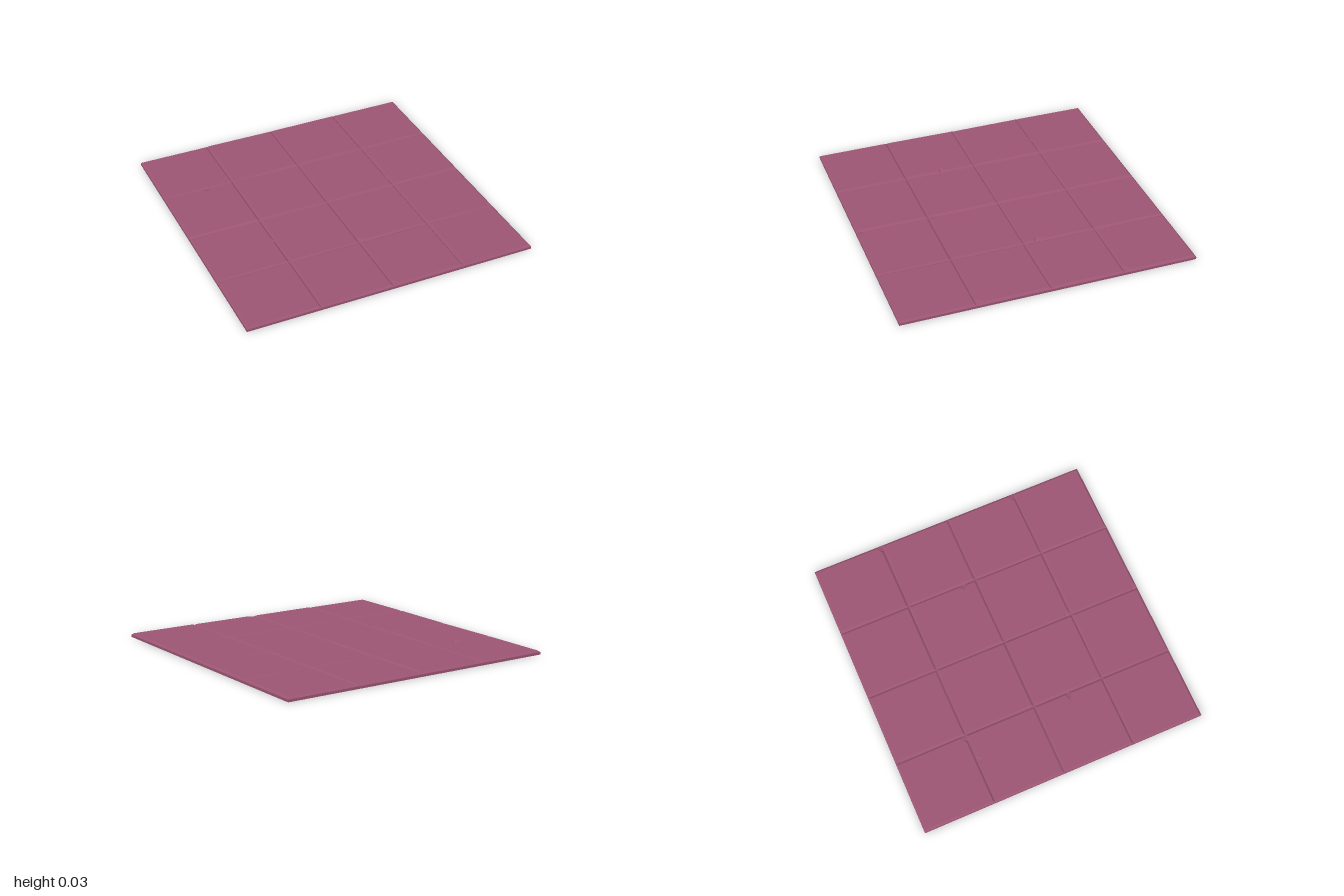
import * as THREE from 'three';

const HALF = 0.25;      // half the width of a tile
const SHOULDER = 0.017; // height where the bevel starts
const TOP = 0.028;

// Corners run counter-clockwise from above (u = x, v = -z): front right, back right, back left, front left
const CORNERS = [[1, -1], [1, 1], [-1, 1], [-1, -1]];

// Worn spots, keyed by "column,row". Notches: [side, position, depth, half width]; corners: clipped corner index
const NOTCHES = { '0,1': [1, 0.05, 0.03, 0.03], '2,1': [0, -0.15, 0.03, 0.03], '0,2': [0, 0.01, 0.055, 0.02] };
const CLIPPED = { '0,0': 0, '3,0': 0, '2,2': 3, '3,2': 0, '2,3': 3 };

function makeRandom(seed) {
  return () => (seed = (seed * 16807) % 2147483647) / 2147483647;
}

function tileGeometry(key, random) {
  const tops = [], rims = [];
  const add = (top, rim) => { tops.push(new THREE.Vector2(...top)); rims.push(rim); };

  // Outline of the top face, each point paired with one on the square rim
  CORNERS.forEach(([su, sv], k) => {
    const u = su * (HALF - 0.012 - random() * 0.005);
    const v = sv * (HALF - 0.011 - random() * 0.006);
    if (CLIPPED[key] === k) {
      const alongU = [[u - su * 0.035, v], [su * (HALF - 0.045), sv * HALF]];
      const alongV = [[u, v - sv * 0.035], [su * HALF, sv * (HALF - 0.045)]];
      const first = k % 2 ? alongV : alongU;
      const last = k % 2 ? alongU : alongV;
      add(...first);
      add([u - su * 0.018, v - sv * 0.018], [su * HALF, sv * HALF]);
      add(...last);
    } else add([u, v], [su * HALF, sv * HALF]);

    const notch = NOTCHES[key];
    if (notch && notch[0] === k) {
      const [, at, depth, w] = notch;
      const dir = k === 1 ? -1 : 1;
      const place = (t, inset) => (k === 1 ? [t, HALF - inset] : [HALF - inset, t]);
      add(place(at - dir * w, 0.014), place(at - dir * w, 0));
      add(place(at, 0.014 + depth), place(at, 0));
      add(place(at + dir * w, 0.014), place(at + dir * w, 0));
    }
  });

  // Slightly tilted top
  const tiltU = (random() - 0.5) * 0.008, tiltV = (random() - 0.5) * 0.008;
  const upper = tops.map(p => [p.x, TOP + p.x * tiltU + p.y * tiltV, -p.y]);
  const shoulder = rims.map(p => [p[0], SHOULDER, -p[1]]);
  const base = rims.map(p => [p[0], 0, -p[1]]);

  const out = [];
  for (const face of THREE.ShapeUtils.triangulateShape(tops, [])) {
    for (const i of face) out.push(...upper[i]);
  }
  // Wall and bevel
  for (const [low, high] of [[base, shoulder], [shoulder, upper]]) {
    low.forEach((a, i) => {
      const j = (i + 1) % low.length;
      out.push(...a, ...low[j], ...high[j], ...a, ...high[j], ...high[i]);
    });
  }
  const geometry = new THREE.BufferGeometry();
  geometry.setAttribute('position', new THREE.Float32BufferAttribute(out, 3));
  geometry.computeVertexNormals();
  return geometry;
}

export function createModel() {
  const group = new THREE.Group();
  group.name = 'tiledFloor';
  const random = makeRandom(4711);
  // The tiles are shells, open underneath
  const material = new THREE.MeshStandardMaterial({ color: 0x9b5573, flatShading: true, side: THREE.DoubleSide });

  for (let row = 0; row < 4; row++) {
    for (let col = 0; col < 4; col++) {
      const tile = new THREE.Mesh(tileGeometry(`${col},${row}`, random), material);
      tile.name = `tile_${row}_${col}`;
      tile.position.set(-0.75 + col * 0.5, 0, -0.75 + row * 0.5);
      group.add(tile);
    }
  }
  return group;
}
